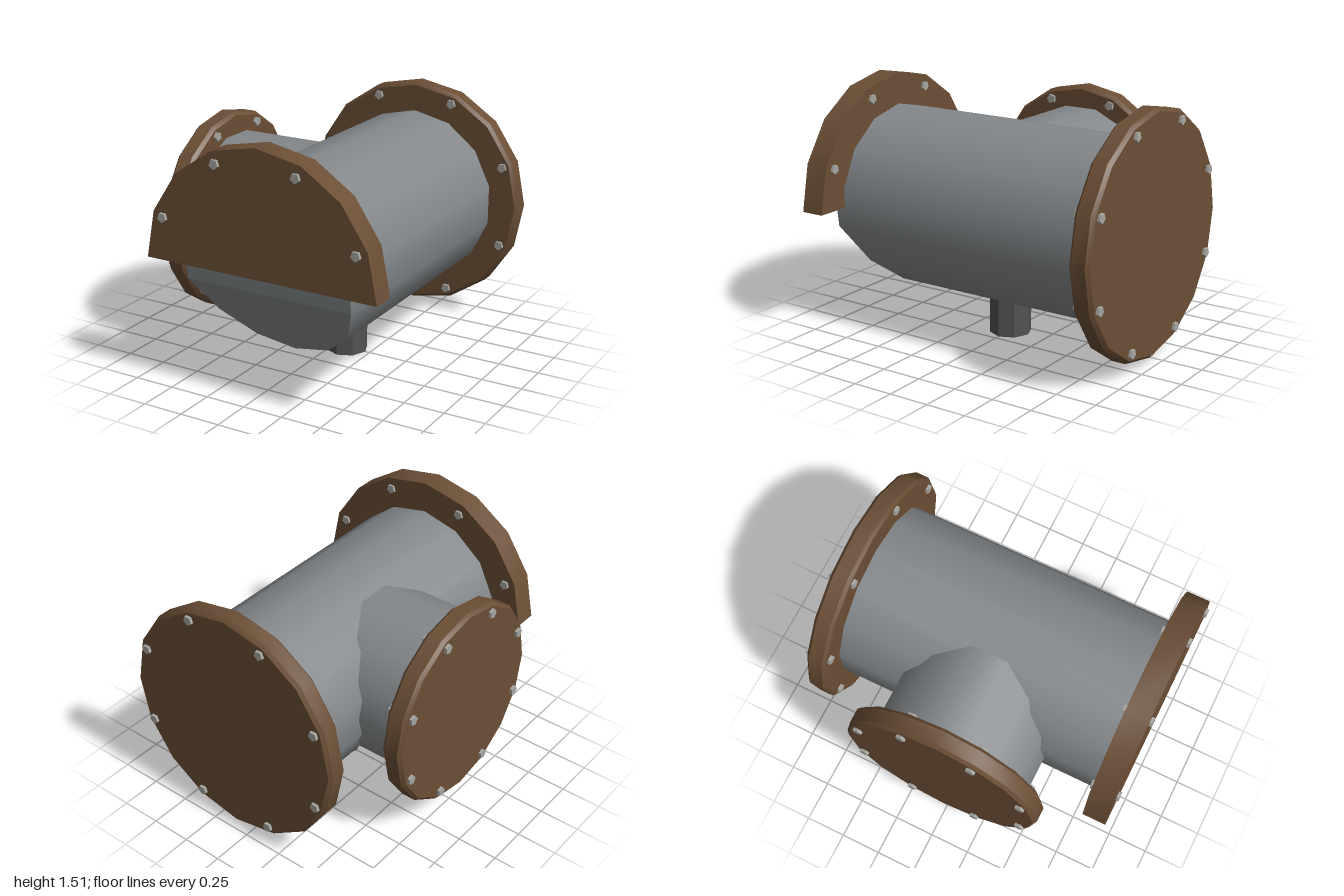
import * as THREE from 'three';
import { toCreasedNormals } from 'three/addons/utils/BufferGeometryUtils.js';

const paint = (name, color) => {
  const m = new THREE.MeshStandardMaterial({ color });
  m.name = name;
  return m;
};

export function createModel() {
  const pipeGrey = paint('pipe grey', 0x84888b);
  const rustBrown = paint('rust brown', 0x6b4e35);
  const boltGrey = paint('bolt grey', 0xa6a6a2);
  const darkGrey = paint('dark grey', 0x525256);

  const model = new THREE.Group();
  model.name = 'pipeJunction';
  const CX = 0.0925, CY = 0.77; // axis of the main pipe

  const add = (parent, name, geometry, material, x = 0, y = 0, z = 0) => {
    const mesh = new THREE.Mesh(geometry, material);
    mesh.name = name;
    mesh.position.set(x, y, z);
    parent.add(mesh);
    return mesh;
  };

  // Main pipe: 14 sides, front end cut away at a slant towards the bottom
  const R = 0.545, SIDES = 14, BACK = -0.9;
  const frontZ = (y) => (y < 0 ? 0.6 + (y + R) * 0.672 : 0.915);
  const tube = new THREE.CylinderGeometry(R, R, 2, SIDES, 1, true);
  tube.rotateX(Math.PI / 2);
  const pos = tube.attributes.position;
  for (let i = 0; i < pos.count; i++) {
    pos.setZ(i, pos.getZ(i) > 0 ? frontZ(pos.getY(i)) : BACK);
  }
  add(model, 'mainPipe', tube, pipeGrey, CX, CY, 0);

  // Slanted end face, made of strips between left and right corners
  const corner = (k, side) => {
    const a = (k / SIDES) * Math.PI * 2;
    const y = -Math.cos(a) * R;
    return [side * Math.sin(a) * R, y, frontZ(y)];
  };
  const strips = [];
  for (let k = 0; k < SIDES / 2; k++) {
    const a = corner(k, -1), b = corner(k, 1), c = corner(k + 1, 1), d = corner(k + 1, -1);
    if (k > 0) strips.push(...a, ...b, ...c);
    if (k < SIDES / 2 - 1) strips.push(...a, ...c, ...d);
    else strips.splice(strips.length, 0);
  }
  const endFace = new THREE.BufferGeometry();
  endFace.setAttribute('position', new THREE.Float32BufferAttribute(strips, 3));
  endFace.computeVertexNormals();
  add(model, 'mainPipeEnd', endFace, pipeGrey, CX, CY, 0);

  // Side branch running into the main pipe
  const branch = new THREE.CylinderGeometry(0.4925, 0.4925, 0.9, SIDES);
  branch.rotateZ(Math.PI / 2);
  add(model, 'branchPipe', branch, pipeGrey, -0.36, CY, 0);

  // Octagonal drain underneath
  const drain = toCreasedNormals(new THREE.CylinderGeometry(0.128, 0.128, 0.3, 8), 0.5);
  add(model, 'drainPipe', drain, darkGrey, CX, 0.15, 0);

  // Bolts in a ring around the local y axis
  const addBolts = (parent, count, ring, length) => {
    const bolt = toCreasedNormals(new THREE.CylinderGeometry(0.03, 0.03, length, 5), 0.5);
    for (let i = 0; i < count; i++) {
      const a = ((i + 0.5) / 8) * Math.PI * 2 + Math.PI / 2;
      add(parent, 'bolt', bolt, boltGrey, Math.sin(a) * ring, 0, Math.cos(a) * ring);
    }
  };

  // Round flange with bevelled rims, axis along local y
  const makeFlange = (name, radius, thickness, ring, boltLength) => {
    const group = new THREE.Group();
    group.name = name;
    const h = thickness / 2, b = 0.02;
    const profile = [
      [0, -h], [radius - b, -h], [radius, -h + b],
      [radius, h - b], [radius - b, h], [0, h],
    ].map(([x, y]) => new THREE.Vector2(x, y));
    const disc = toCreasedNormals(new THREE.LatheGeometry(profile, 16), 0.5);
    add(group, name + 'Disc', disc, rustBrown);
    addBolts(group, 8, ring, boltLength);
    model.add(group);
    return group;
  };

  const backFlange = makeFlange('backFlange', 0.73, 0.125, 0.667, 0.16);
  backFlange.rotation.x = Math.PI / 2;
  backFlange.position.set(CX, CY, -0.919);

  const branchFlange = makeFlange('branchFlange', 0.62, 0.126, 0.558, 0.161);
  branchFlange.rotation.z = Math.PI / 2;
  branchFlange.position.set(-0.757, CY, 0);

  // Front flange: only the upper half remains
  const half = new THREE.Shape();
  for (let i = 0; i <= 8; i++) {
    const a = (i / 8) * Math.PI;
    const x = Math.cos(a) * 0.7375, y = Math.sin(a) * 0.74;
    if (i === 0) half.moveTo(x, y);
    else half.lineTo(x, y);
  }
  half.closePath();
  const halfDisc = toCreasedNormals(
    new THREE.ExtrudeGeometry(half, { depth: 0.145, bevelEnabled: false }), 0.5);
  add(model, 'frontHalfFlange', halfDisc, rustBrown, CX, CY, 0.835);
  const frontBolts = new THREE.Group();
  frontBolts.name = 'frontBolts';
  addBolts(frontBolts, 4, 0.667, 0.178);
  frontBolts.rotation.x = -Math.PI / 2; // local -z becomes up
  frontBolts.rotation.x = Math.PI / 2;
  frontBolts.position.set(CX, CY, 0.909);
  model.add(frontBolts);

  return model;
}
